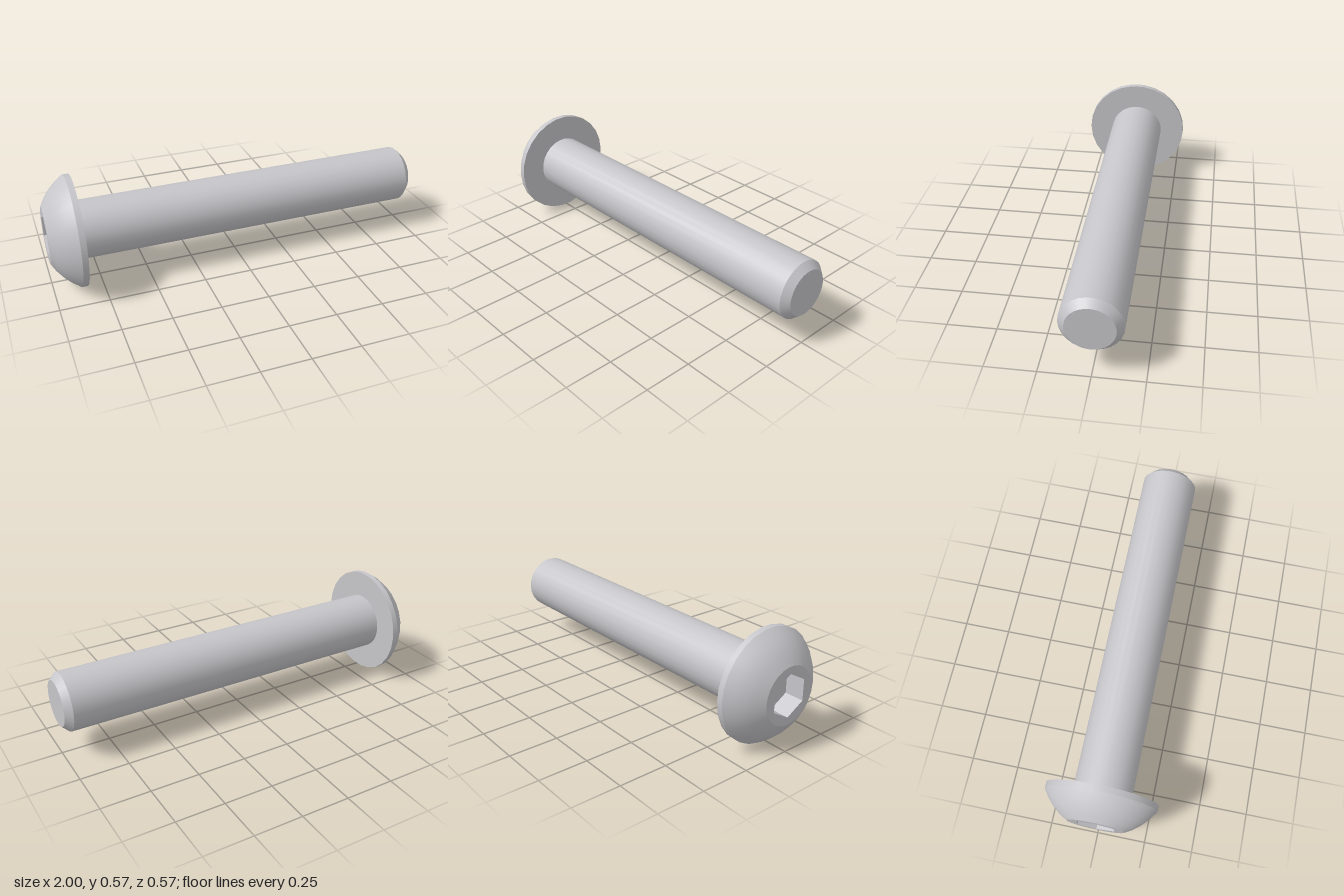
import * as THREE from 'three';

const SIDES = 26;
const AXIS_Y = 0.287;
const SHANK_R = 0.15, HEAD_R = 0.287, FACE_R = 0.145, SOCKET_R = 0.108;
const FACE_X = -1, RIM_X = -0.87, SEAT_X = -0.84, CHAMFER_X = 0.965, TIP_X = 1;
const SOCKET_X = -0.9;

export function createModel() {
  const steel = new THREE.MeshStandardMaterial({ color: 0xc6c6ca });
  steel.name = 'steel';
  const bolt = new THREE.Group();
  bolt.name = 'bolt';

  const add = (name, geometry) => {
    const mesh = new THREE.Mesh(geometry, steel);
    mesh.name = name;
    mesh.position.y = AXIS_Y;
    bolt.add(mesh);
  };

  // Surface turned about the x axis from [x, radius] pairs
  const turned = (profile, sides = SIDES, start = 0) =>
    new THREE.LatheGeometry(profile.map(([x, r]) => new THREE.Vector2(r, x)), sides, start)
      .rotateZ(-Math.PI / 2);

  const polygon = (radius, sides, start = 0) =>
    Array.from({ length: sides }, (_, i) => {
      const a = start + (i / sides) * Math.PI * 2;
      return new THREE.Vector2(radius * Math.cos(a), radius * Math.sin(a));
    });

  // Flat plate facing -x
  const plate = (shape, x) =>
    new THREE.ShapeGeometry(shape).rotateY(-Math.PI / 2).translate(x, 0, 0);

  // Domed head: circular arc from the front face to the rim
  const centreX = -0.7, arcR = Math.hypot(FACE_X - centreX, FACE_R);
  const a0 = Math.atan2(FACE_R, centreX - FACE_X);
  const a1 = Math.asin(HEAD_R / arcR);
  const dome = Array.from({ length: 5 }, (_, i) => {
    const a = a0 + (a1 - a0) * (i / 4);
    return [centreX - arcR * Math.cos(a), arcR * Math.sin(a)];
  });
  dome[4] = [RIM_X, HEAD_R];
  add('headDome', turned(dome));
  add('headRim', turned([[RIM_X, HEAD_R], [SEAT_X, HEAD_R]]));
  add('headUnderside', turned([[SEAT_X, HEAD_R], [SEAT_X, SHANK_R]]));

  // Front face with hexagonal socket
  const hex = polygon(SOCKET_R, 6, Math.PI / 6);
  const face = new THREE.Shape(polygon(FACE_R, SIDES));
  face.holes.push(new THREE.Path(hex.slice().reverse()));
  add('headFace', plate(face, FACE_X));
  const walls = turned([[SOCKET_X, SOCKET_R], [FACE_X, SOCKET_R]], 6, Math.PI / 6).toNonIndexed();
  walls.computeVertexNormals();
  add('socketWalls', walls);
  add('socketFloor', plate(new THREE.Shape(hex), SOCKET_X));

  // Shank with chamfered tip
  add('shank', turned([[SEAT_X, SHANK_R], [CHAMFER_X, SHANK_R]]));
  add('tipChamfer', turned([[CHAMFER_X, SHANK_R], [TIP_X, 0.117]]));
  add('tipFace', turned([[TIP_X, 0.117], [TIP_X, 0]]));

  return bolt;
}
